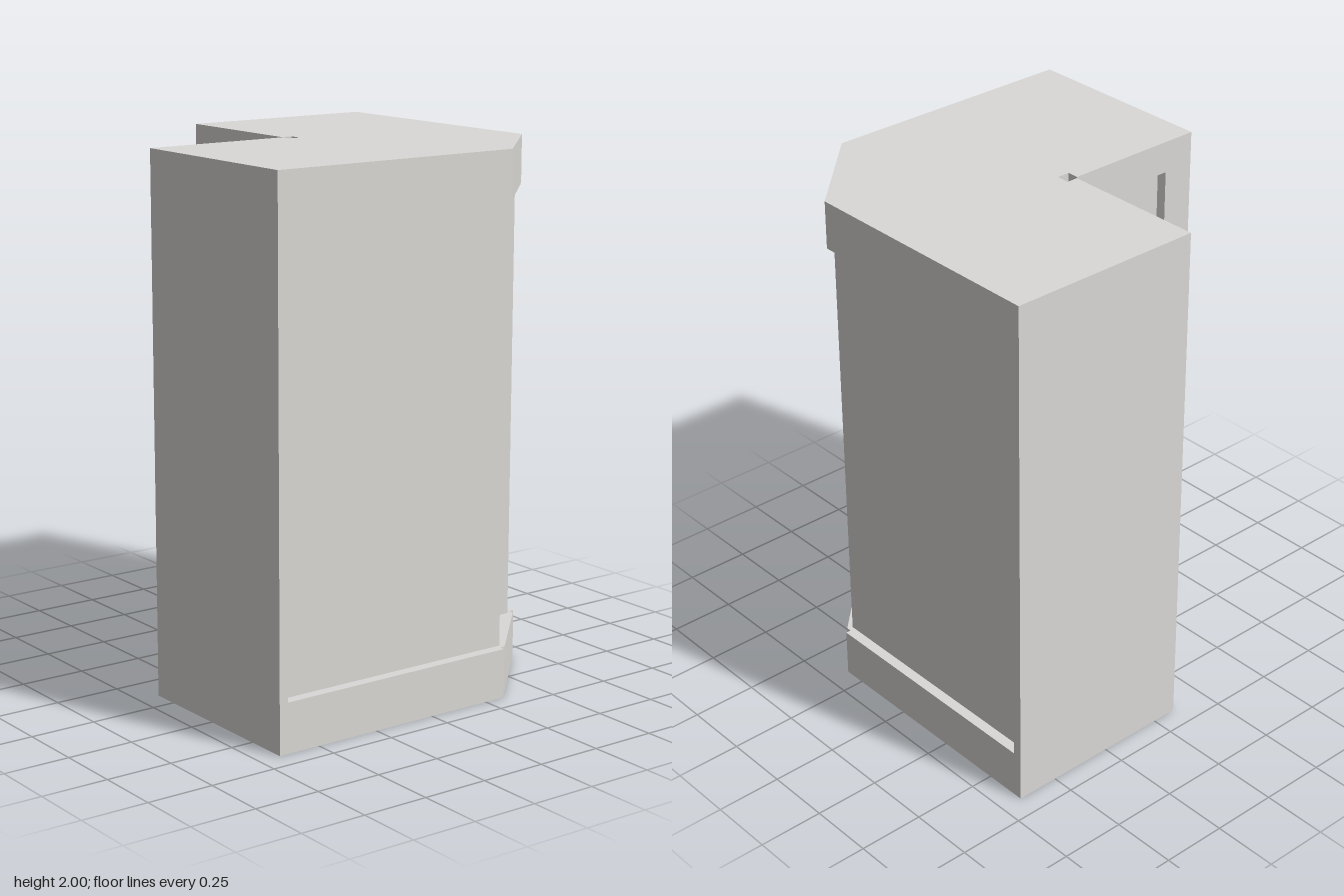
import * as THREE from 'three';

const paint = new THREE.MeshStandardMaterial({ color: 0xdad9d6 });
paint.name = 'pale grey paint';

// The plan is symmetrical about the diagonal x = -z
const mirror = ([x, z]) => [-z, -x];

// Half plan [x, z], from the inner corner round to the chamfered back corner
function plan({ door, back }) {
  const half = [
    [-0.055, 0.055], [-0.105, 0.055], [-0.105, 0.098],
    ...(door ? [[-0.23, 0.098], [-0.24, 0.068], [-0.53, 0.068], [-0.54, 0.098]] : []),
    [-0.665, 0.098], [-0.665, -0.665],
    ...{
      plain: [[0.333, -0.665]],
      slot: [[0.333, -0.665], [0.333, -0.645], [0.353, -0.645]],
      panel: [[-0.63, -0.665], [-0.63, -0.625], [0.345, -0.625], [0.345, -0.585]],
    }[back],
  ];
  const points = [...half, ...half.slice(1).reverse().map(mirror)];
  return new THREE.Shape(points.map(([x, z]) => new THREE.Vector2(x, -z)));
}

// Horizontal slices of the cabinet, from the floor up
const layers = [
  { name: 'plinth', from: 0, to: 0.04, back: 'plain' },
  { name: 'lowerRail', from: 0.04, to: 0.13, back: 'slot' },
  { name: 'lowerRailWithDoor', from: 0.13, to: 0.185, back: 'slot', door: true },
  { name: 'panelledBody', from: 0.185, to: 1.82, back: 'panel', door: true },
  { name: 'upperRailWithDoor', from: 1.82, to: 1.88, back: 'slot', door: true },
  { name: 'upperRail', from: 1.88, to: 1.965, back: 'slot' },
  { name: 'top', from: 1.965, to: 2, back: 'plain' },
];

// Sloped strip along the top or bottom of a door recess on the left wing
function bevelGeometry(y, inner) {
  const section = new THREE.Shape([
    new THREE.Vector2(-0.068, y),
    new THREE.Vector2(-0.098, y),
    new THREE.Vector2(-0.068, inner),
  ]);
  const g = new THREE.ExtrudeGeometry(section, { depth: 0.31, bevelEnabled: false });
  g.rotateY(Math.PI / 2); // section x becomes -z, depth runs along +x
  g.translate(-0.54, 0, 0);
  return g;
}

export function createModel() {
  const group = new THREE.Group();
  group.name = 'cornerCabinet';
  const add = (geometry, name) => {
    const mesh = new THREE.Mesh(geometry, paint);
    mesh.name = name;
    group.add(mesh);
    return mesh;
  };

  for (const layer of layers) {
    const g = new THREE.ExtrudeGeometry(plan(layer), {
      depth: layer.to - layer.from, bevelEnabled: false,
    });
    g.rotateX(-Math.PI / 2);
    g.translate(0, layer.from, 0);
    add(g, layer.name);
  }

  // Door bevels on both inner faces; the second pair is turned to face -x
  for (const [y, inner, name] of [[0.13, 0.143, 'Bottom'], [1.88, 1.865, 'Top']]) {
    add(bevelGeometry(y, inner), 'leftDoorBevel' + name);
    const side = bevelGeometry(y, inner);
    side.rotateY(-Math.PI / 2);
    side.translate(0, 0, 0.77);
    add(side, 'sideDoorBevel' + name);
  }
  return group;
}
